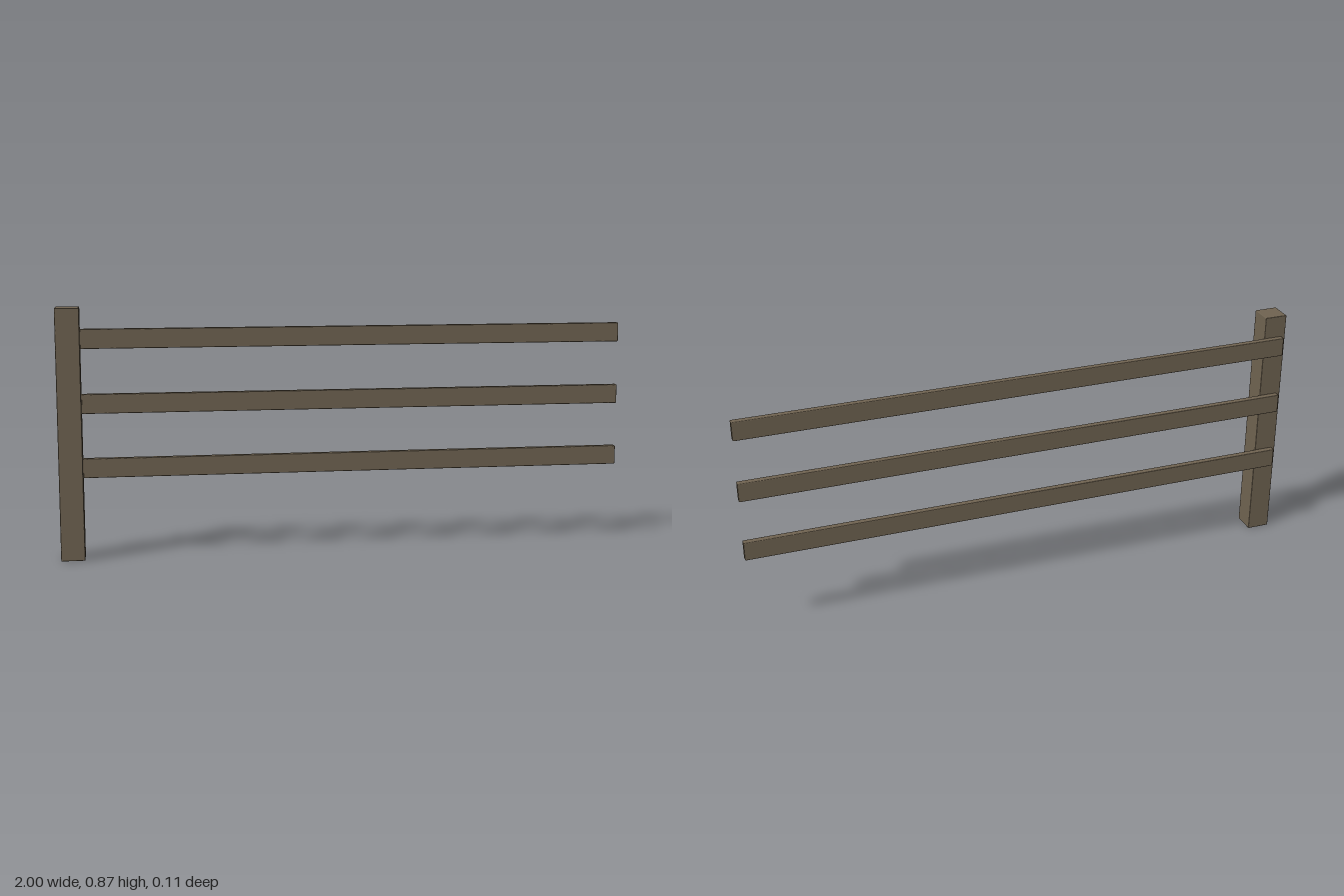
import * as THREE from 'three';
import { RoundedBoxGeometry } from 'three/addons/geometries/RoundedBoxGeometry.js';

export function createModel() {
  const fence = new THREE.Group();
  fence.name = 'fenceSection';

  const wood = new THREE.MeshStandardMaterial({ color: 0x6e6250 });
  wood.name = 'weathered wood';

  // Timber with slightly eased edges, given by its lower and upper corners
  function timber(name, min, max) {
    const size = max.map((v, i) => v - min[i]);
    const mesh = new THREE.Mesh(new RoundedBoxGeometry(...size, 1, 0.003), wood);
    mesh.position.set(...min.map((v, i) => v + size[i] / 2));
    mesh.name = name;
    fence.add(mesh);
  }

  // Upright post at the right end
  timber('post', [-1, 0, -0.029], [-0.918, 0.87, 0.053]);

  // Three rails fixed to the back of the post
  ['lowerRail', 'middleRail', 'upperRail'].forEach((name, i) => {
    const y = 0.274 + i * 0.225;
    timber(name, [-0.984, y, -0.052], [1, y + 0.068, -0.029]);
  });

  return fence;
}
